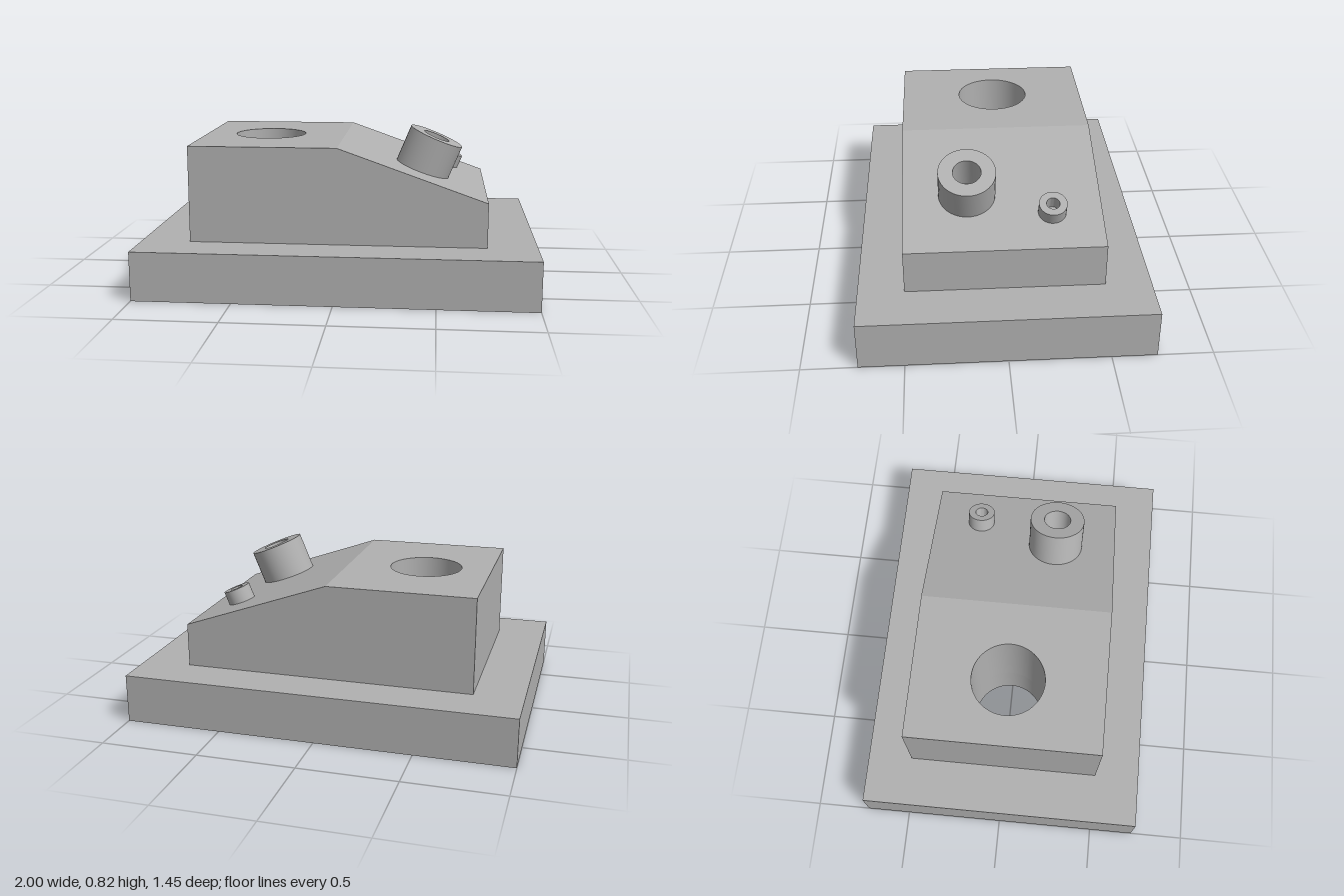
import * as THREE from 'three';
import { toCreasedNormals } from 'three/addons/utils/BufferGeometryUtils.js';

const grey = new THREE.MeshStandardMaterial({ color: 0xb0b0b0 });
grey.name = 'plain grey';

const CREASE = 0.5;
const BASE_TOP = 0.25, BODY_TOP = 0.74, SLOPE_END = 0.475;
const BODY_X = 0.75, BODY_Z = 0.495;

function part(name, geometry) {
  const mesh = new THREE.Mesh(toCreasedNormals(geometry, CREASE), grey);
  mesh.name = name;
  return mesh;
}

// Upright block with the round through hole
function drilledBlock(x0, x1, halfZ, y0, y1) {
  const shape = new THREE.Shape();
  shape.moveTo(x0, -halfZ);
  shape.lineTo(x1, -halfZ);
  shape.lineTo(x1, halfZ);
  shape.lineTo(x0, halfZ);
  shape.closePath();
  const hole = new THREE.Path();
  hole.absarc(-0.407, 0.003, 0.187, 0, Math.PI * 2, true);
  shape.holes.push(hole);
  const geometry = new THREE.ExtrudeGeometry(shape, { depth: y1 - y0, bevelEnabled: false, curveSegments: 32 });
  return geometry.rotateX(-Math.PI / 2).translate(0, y0, 0);
}

// Sloping half of the body
function slopedBlock() {
  const shape = new THREE.Shape();
  shape.moveTo(0, BASE_TOP);
  shape.lineTo(BODY_X, BASE_TOP);
  shape.lineTo(BODY_X, SLOPE_END);
  shape.lineTo(0, BODY_TOP);
  shape.closePath();
  const geometry = new THREE.ExtrudeGeometry(shape, { depth: 2 * BODY_Z, bevelEnabled: false });
  return geometry.translate(0, 0, -BODY_Z);
}

// Hollow tube whose rim centre is at the origin, sunk into the slope
function tube(name, outer, inner, length, x, y, z) {
  const profile = [[outer, -length], [outer, 0], [inner, 0], [inner, -length]]
    .map(([r, h]) => new THREE.Vector2(r, h));
  const mesh = part(name, new THREE.LatheGeometry(profile, 40));
  mesh.position.set(x, y, z);
  mesh.rotation.z = -THREE.MathUtils.degToRad(22.5);
  return mesh;
}

export function createModel() {
  const model = new THREE.Group();
  model.name = 'drilledWedgeBlock';

  model.add(part('basePlate', drilledBlock(-1, 1, 0.725, 0, BASE_TOP)));

  const body = new THREE.Group();
  body.name = 'body';
  body.add(part('flatBody', drilledBlock(-BODY_X, 0, BODY_Z, BASE_TOP, BODY_TOP)));
  body.add(part('slopedBody', slopedBlock()));
  model.add(body);

  model.add(tube('largeTube', 0.143, 0.07, 0.21, 0.49, 0.762, 0.173));
  model.add(tube('smallTube', 0.07, 0.033, 0.09, 0.57, 0.617, -0.245));
  return model;
}
